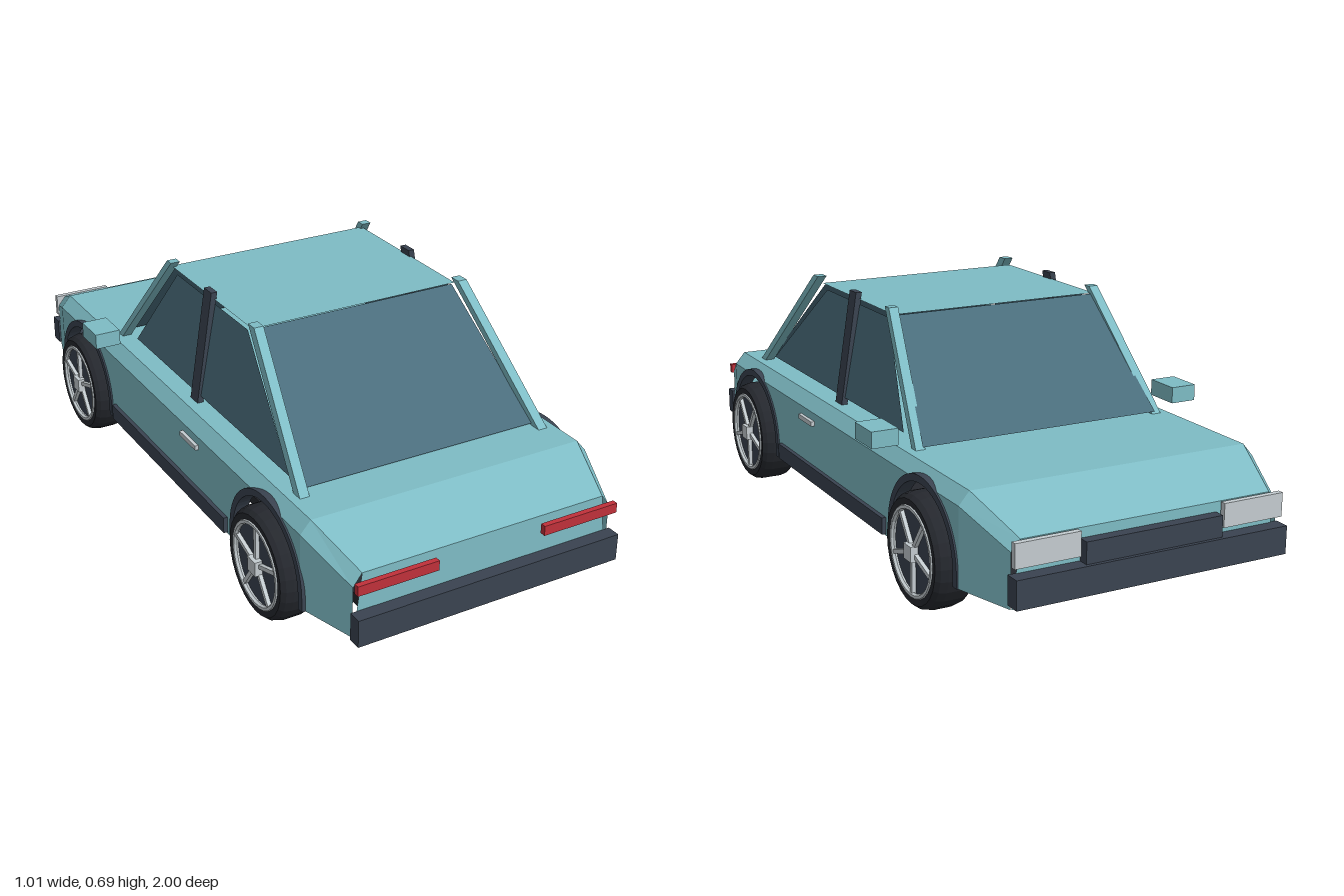
import * as THREE from 'three';

const mat = (color) => new THREE.MeshStandardMaterial({ color, flatShading: true, side: THREE.DoubleSide });

export function createModel() {
  const car = new THREE.Group();
  car.name = 'car';
  const paint = mat(0x7ebcc5), glass = mat(0x4a6d7c), trim = mat(0x3a4350);
  const rubber = mat(0x25282e), red = mat(0xc0303a), silver = mat(0xc4ccd0);

  const add = (name, geometry, material, parent = car) => {
    const mesh = new THREE.Mesh(geometry, material);
    mesh.name = name;
    parent.add(mesh);
    return mesh;
  };
  // box given by its extents on each axis
  const box = (name, material, [x0, x1], [y0, y1], [z0, z1]) => {
    const mesh = add(name, new THREE.BoxGeometry(Math.abs(x1 - x0), y1 - y0, z1 - z0), material);
    mesh.position.set((x0 + x1) / 2, (y0 + y1) / 2, (z0 + z1) / 2);
    return mesh;
  };
  // flat panel from four corners
  const quad = (name, material, a, b, c, d) => {
    const g = new THREE.BufferGeometry();
    g.setAttribute('position', new THREE.Float32BufferAttribute([a, b, c, a, c, d].flat(), 3));
    g.computeVertexNormals();
    return add(name, g, material);
  };
  // leaning post with level ends
  const post = (name, material, bottom, top, w, d) => {
    const h = top[1] - bottom[1];
    const g = new THREE.BoxGeometry(w, h, d), p = g.attributes.position;
    for (let i = 0; i < p.count; i++) {
      const t = p.getY(i) / h + 0.5;
      p.setXYZ(i, p.getX(i) + bottom[0] + (top[0] - bottom[0]) * t, bottom[1] + h * t,
        p.getZ(i) + bottom[2] + (top[2] - bottom[2]) * t);
    }
    g.computeVertexNormals();
    return add(name, g, material);
  };

  const axles = [-0.59, 0.61], axleY = 0.155, archR = 0.178, sill = 0.12;

  // body stations: z, shoulder half width and height, top half width and height
  const stations = [
    [-0.96, 0.39, 0.265, 0.365, 0.295], [-0.79, 0.44, 0.335, 0.41, 0.37],
    [0.79, 0.44, 0.335, 0.41, 0.37], [0.96, 0.39, 0.265, 0.365, 0.3],
  ];
  for (let i = 0; i < 3; i++) {
    const [z0, w0, s0, u0, t0] = stations[i], [z1, w1, s1, u1, t1] = stations[i + 1];
    quad('topPanel', paint, [-u0, t0, z0], [-u1, t1, z1], [u1, t1, z1], [u0, t0, z0]);
    for (const s of [-1, 1]) {
      quad('shoulder', paint, [s * u0, t0, z0], [s * u1, t1, z1], [s * w1, s1, z1], [s * w0, s0, z0]);
      if (i !== 1) quad('sideEnd', paint, [s * w0, s0, z0], [s * w1, s1, z1], [s * w1, sill, z1], [s * w0, sill, z0]);
    }
  }
  for (const [z, , , u, t] of [stations[0], stations[3]]) {
    quad('endPanel', paint, [-u, t, z], [-0.388, sill, z], [0.388, sill, z], [u, t, z]);
  }

  // side panel with wheel arch openings, drawn in (z, y)
  const side = new THREE.Shape();
  side.moveTo(-0.79, sill);
  for (const z of axles) {
    side.lineTo(z - archR, sill);
    side.lineTo(z - archR, axleY);
    side.absarc(z, axleY, archR, Math.PI, 0, true);
    side.lineTo(z + archR, sill);
  }
  side.lineTo(0.79, sill);
  side.lineTo(0.79, 0.335);
  side.lineTo(-0.79, 0.335);

  // arch lip
  const lip = new THREE.Shape();
  lip.moveTo(-0.198, sill - axleY);
  lip.lineTo(-0.198, 0);
  lip.absarc(0, 0, 0.198, Math.PI, 0, true);
  lip.lineTo(0.198, sill - axleY);
  lip.lineTo(archR, sill - axleY);
  lip.lineTo(archR, 0);
  lip.absarc(0, 0, archR, 0, Math.PI, false);
  lip.lineTo(-archR, sill - axleY);
  const lipGeometry = new THREE.ExtrudeGeometry(lip, { depth: 0.04, bevelEnabled: false, curveSegments: 16 });
  lipGeometry.translate(0, 0, -0.02);

  // wheel parts, turning about y before being laid on the x axis
  const tyreProfile = [[0.118, -0.055], [0.14, -0.057], [0.15, -0.045], [0.155, -0.025],
    [0.155, 0.025], [0.15, 0.045], [0.14, 0.057], [0.118, 0.055]].map(([r, y]) => new THREE.Vector2(r, y));
  const tyreGeometry = new THREE.LatheGeometry(tyreProfile, 28);
  const makeWheel = () => {
    const wheel = new THREE.Group();
    wheel.name = 'wheel';
    add('tyre', tyreGeometry, rubber, wheel);
    add('wheelDisc', new THREE.CylinderGeometry(0.119, 0.119, 0.09, 28), trim, wheel);
    const rim = add('rimRing', new THREE.TorusGeometry(0.117, 0.008, 6, 28), silver, wheel);
    rim.rotation.x = Math.PI / 2;
    rim.position.y = 0.052;
    for (let i = 0; i < 5; i++) {
      const a = (i / 5) * Math.PI * 2;
      const spoke = add('spoke', new THREE.BoxGeometry(0.115, 0.012, 0.012), silver, wheel);
      spoke.position.set(Math.cos(a) * 0.06, 0.05, -Math.sin(a) * 0.06);
      spoke.rotation.y = a;
    }
    add('hub', new THREE.BoxGeometry(0.042, 0.025, 0.042), silver, wheel).position.y = 0.054;
    return wheel;
  };

  for (const s of [-1, 1]) {
    const panel = add('sidePanel', new THREE.ShapeGeometry(side, 20), paint);
    panel.rotation.y = -Math.PI / 2;
    panel.position.x = s * 0.44;

    for (const z of axles) {
      const arch = add('archLip', lipGeometry, trim);
      arch.rotation.y = -Math.PI / 2;
      arch.position.set(s * 0.425, axleY, z);
      const wheel = makeWheel();
      wheel.rotation.z = -s * Math.PI / 2;
      wheel.position.set(s * 0.417, axleY, z);
      car.add(wheel);
    }

    box('sideSkirt', trim, [s * 0.43, s * 0.452], [0.125, 0.172], [-0.37, 0.39]);
    box('doorHandle', silver, [s * 0.438, s * 0.45], [0.297, 0.311], [0.12, 0.22]);
    box('mirror', paint, [s * 0.43, s * 0.507], [0.39, 0.436], [-0.435, -0.33]);
    box('tailLight', red, [s * 0.16, s * 0.393], [0.257, 0.285], [0.972, 0.988]);
    box('headlight', silver, [s * 0.21, s * 0.392], [0.23, 0.295], [-0.982, -0.966]);

    // cabin sides
    quad('sideWindow', glass, [s * 0.37, 0.39, 0.61], [s * 0.37, 0.39, -0.34],
      [s * 0.318, 0.66, -0.145], [s * 0.318, 0.66, 0.29]);
    post('middlePillar', trim, [s * 0.372, 0.37, 0.075], [s * 0.32, 0.695, 0.075], 0.018, 0.045);
    post('rearPillar', paint, [s * 0.372, 0.365, 0.68], [s * 0.32, 0.695, 0.34], 0.028, 0.034);
    post('frontPillar', paint, [s * 0.372, 0.365, -0.435], [s * 0.32, 0.695, -0.165], 0.028, 0.026);
  }

  // roof and screens
  quad('roof', paint, [-0.32, 0.675, -0.18], [-0.32, 0.675, 0.32], [0.32, 0.675, 0.32], [0.32, 0.675, -0.18]);
  quad('rearScreen', glass, [-0.36, 0.377, 0.66], [0.36, 0.377, 0.66], [0.31, 0.673, 0.32], [-0.31, 0.673, 0.32]);
  quad('windscreen', glass, [0.365, 0.377, -0.445], [-0.365, 0.377, -0.445], [-0.31, 0.673, -0.18], [0.31, 0.673, -0.18]);

  // bumpers, grille and floor
  box('rearBumper', trim, [-0.397, 0.397], [0.118, 0.195], [0.962, 1]);
  box('frontBumper', trim, [-0.397, 0.397], [0.133, 0.21], [-1, -0.957]);
  box('grille', trim, [-0.2, 0.2], [0.21, 0.268], [-0.99, -0.96]);
  box('floor', rubber, [-0.295, 0.295], [0.1, 0.13], [-0.93, 0.89]);

  return car;
}
